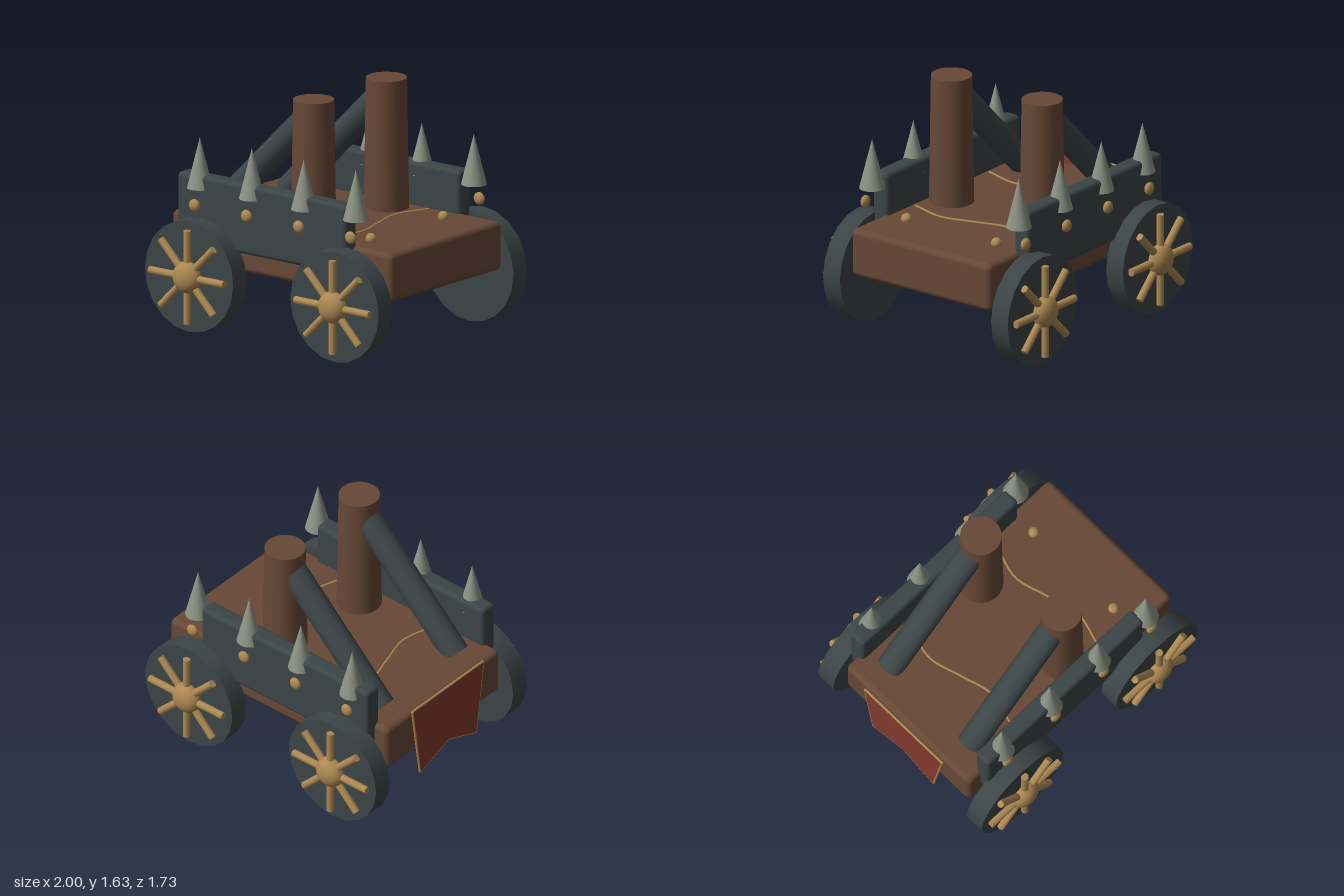
import * as THREE from 'three';
import { RoundedBoxGeometry } from 'three/addons/geometries/RoundedBoxGeometry.js';

const material = (name, color) => {
  const m = new THREE.MeshStandardMaterial({ color });
  m.name = name;
  return m;
};

export function createModel() {
  const wood = material('brown wood', 0x674836);
  const iron = material('dark iron', 0x3c4546);
  const brass = material('brass', 0xac8852);
  const steel = material('grey steel', 0x8c9385);
  const cloth = material('red cloth', 0x823a2d);

  const model = new THREE.Group();
  model.name = 'spikedCart';

  const add = (parent, name, geometry, mat, x = 0, y = 0, z = 0) => {
    const mesh = new THREE.Mesh(geometry, mat);
    mesh.name = name;
    mesh.position.set(x, y, z);
    parent.add(mesh);
    return mesh;
  };

  // Straight round bar between two points
  const bar = (parent, name, a, b, radius, mat, sides = 20) => {
    const dir = b.clone().sub(a);
    const mesh = add(parent, name, new THREE.CylinderGeometry(radius, radius, dir.length(), sides), mat);
    mesh.position.copy(a).addScaledVector(dir, 0.5);
    mesh.quaternion.setFromUnitVectors(new THREE.Vector3(0, 1, 0), dir.normalize());
    return mesh;
  };

  // Deck
  add(model, 'deck', new RoundedBoxGeometry(1.885, 0.333, 1.16, 4, 0.04), wood, 0.009, 0.583, 0);

  // Wavy inlays and studs on the top and underside of the deck
  for (const [side, y] of [['top', 0.753], ['bottom', 0.413]]) {
    for (const cx of [-0.44, 0.36]) {
      const path = new THREE.CatmullRomCurve3(
        [[0.02, -0.5], [-0.057, -0.24], [0, 0], [0.058, 0.24], [-0.008, 0.5]]
          .map(([dx, z]) => new THREE.Vector3(cx + dx, y, z)));
      add(model, side + 'Inlay', new THREE.TubeGeometry(path, 40, 0.008, 8), brass);
    }
    for (const z of [-0.375, 0.375]) {
      add(model, side + 'DeckStud', new THREE.SphereGeometry(0.037, 16, 12), brass,
        0.61, side === 'top' ? 0.765 : 0.4, z);
    }
  }

  const spikeXs = [-0.66, -0.215, 0.23, 0.675];
  for (const s of [1, -1]) {
    // Armoured side wall with spikes and studs
    add(model, 'sideWall', new RoundedBoxGeometry(1.445, 0.475, 0.125, 4, 0.03), iron, -0.103, 0.805, s * 0.59);
    for (const x of spikeXs) {
      add(model, 'spike', new THREE.ConeGeometry(0.086, 0.345, 24), steel, x, 1.122, s * 0.612);
      add(model, 'wallStud', new THREE.SphereGeometry(0.043, 16, 12), brass, x, 0.84, s * 0.668)
        .scale.z = 0.6;
    }

    // Post and its slanted brace
    add(model, 'post', new THREE.CylinderGeometry(0.137, 0.151, 0.935, 32), wood, 0.12, 1.168, s * 0.378);
    bar(model, 'brace', new THREE.Vector3(-0.717, 0.728, s * 0.378),
      new THREE.Vector3(0.06, 1.489, s * 0.378), 0.092, iron);

    // Wheels
    for (const x of [-0.622, 0.622]) {
      const wheel = new THREE.Group();
      wheel.name = 'wheel';
      wheel.position.set(x, 0.38, s * 0.7);
      if (s < 0) wheel.rotation.y = Math.PI;
      model.add(wheel);
      add(wheel, 'wheelDisc', new THREE.CylinderGeometry(0.378, 0.378, 0.14, 20).rotateX(Math.PI / 2), iron);
      for (let i = 0; i < 8; i++) {
        const a = i * Math.PI / 4;
        bar(wheel, 'spoke', new THREE.Vector3(0, 0, 0.09),
          new THREE.Vector3(Math.cos(a) * 0.318, Math.sin(a) * 0.318, 0.09), 0.026, brass, 12);
      }
      add(wheel, 'hub', new THREE.SphereGeometry(0.109, 24, 16), brass, 0, 0, 0.09).scale.z = 0.69;
    }
  }

  // Swallow-tailed banner at the end, with a thin brass rim
  const outline = [[-0.36, 0.795], [0.36, 0.795], [0.283, 0.255], [0, 0.362], [-0.283, 0.255]];
  const banner = new THREE.Group();
  banner.name = 'banner';
  banner.position.x = -0.967;
  banner.rotation.y = -Math.PI / 2;
  model.add(banner);
  const shape = new THREE.Shape(outline.map(([u, v]) => new THREE.Vector2(u, v)));
  add(banner, 'bannerCloth', new THREE.ExtrudeGeometry(shape, { depth: 0.016, bevelEnabled: false }),
    cloth, 0, 0, -0.008);
  outline.forEach(([u, v], i) => {
    const [u2, v2] = outline[(i + 1) % outline.length];
    bar(banner, 'bannerRim', new THREE.Vector3(u, v, 0), new THREE.Vector3(u2, v2, 0), 0.009, brass, 8);
  });

  return model;
}
